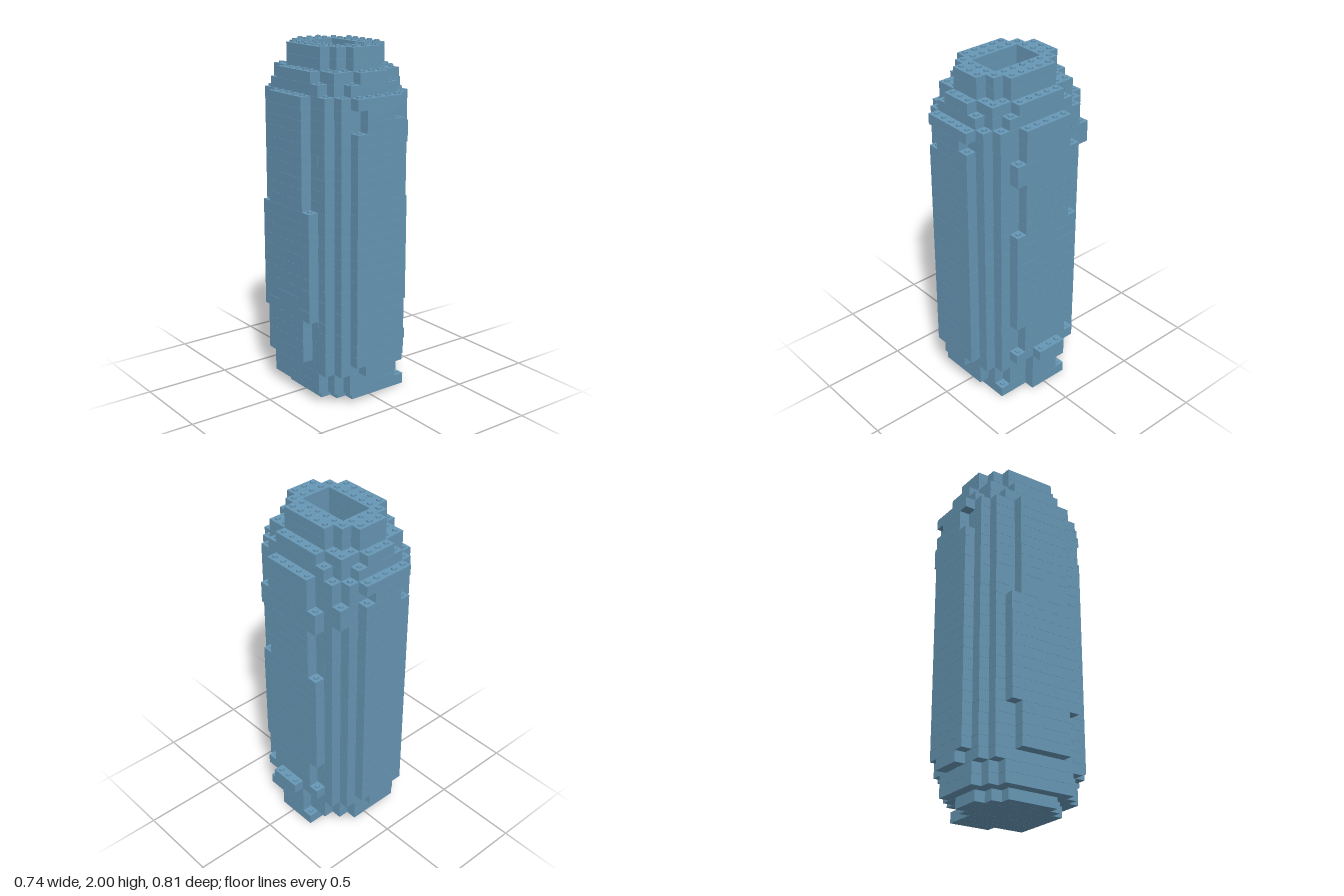
import * as THREE from 'three';
import { mergeGeometries } from 'three/addons/utils/BufferGeometryUtils.js';

const U = 0.0621, H = 0.0622;       // brick pitch and layer height
const COLS = 12, ROWS = 13, LAYERS = 32;
const GAP = 0.0006;                 // hairline seam between bricks
const X0 = -6 * U, Z0 = -6.5 * U;

// Half width (in studs) of each row, counted outward from the middle row
const FULL = [5, 5, 5, 5, 4, 3, 2];
const profile = (k) => {
  if (k === 0) return [3, 3, 3, 2, 1];
  if (k <= 2) return [4, 4, 4, 4, 3, 2];
  if (k === 3) return [4, 4, 4, 4, 4, 3, 1];
  if (k < 28) return FULL;
  if (k === 28) return [4, 4, 4, 4, 3, 2];
  if (k === 29) return [4, 4, 4, 3, 3, 1];
  return [3, 3, 3, 2, 1];
};

// Is there a brick at column i, row j, layer k?
function filled(i, j, k) {
  if (i < 0 || j < 0 || k < 0 || i >= COLS || j >= ROWS || k >= LAYERS) return false;
  const dj = Math.abs(j - 6), di = Math.abs(i - 5);
  // hollow core
  if (k > 1 && di <= 1 && dj <= 2) return false;
  // stray bricks sticking out
  if (i === 11) return k === 4 && dj <= 1;
  if (k === 0 && i === 10) return j >= 4 && j <= 7;
  if (k === 0 && i >= 8 && j >= 4 && j <= 10) return true;
  if (k === 0 && i >= 4 && j === 10) return true;
  if (k >= 1 && k <= 3 && i === 10) return dj <= 1;
  if (i === 9 && j === 1) return k === 24 || k === 25;
  // side panels lose their outer columns at some heights
  if (di === 5 && dj === 3) {
    return (k >= 8 && k <= 17) || (i === 10 && (k === 4 || k === 23 || k === 24));
  }
  // missing bricks at the top of the front and back panels
  if (dj === 6 && i === 3 && (k === 25 || k === 26)) return false;
  if (dj === 6 && i === 7 && k === 26) return false;
  const w = profile(k)[dj];
  return w !== undefined && di <= w;
}

// Bricks running front to back on the sides, left to right elsewhere
const lengthwise = (i, j) => (i < 4 || i > 6) && Math.abs(j - 6) <= 3;

function brick(i, j, k, nx, nz) {
  const g = new THREE.BoxGeometry(nx * U - GAP, H - GAP, nz * U - GAP);
  g.translate(X0 + (i + nx / 2) * U, (k + 0.5) * H, Z0 + (j + nz / 2) * U);
  return g;
}

function layerBricks(k) {
  const parts = [];
  // runs along x
  for (let j = 0; j < ROWS; j++) {
    for (let i = 0; i < COLS; i++) {
      let n = 0;
      while (filled(i + n, j, k) && !lengthwise(i + n, j)) n++;
      if (n) parts.push(brick(i, j, k, n, 1));
      i += n;
      if (n && filled(i, j, k) && !lengthwise(i, j)) i--;
    }
  }
  // runs along z
  for (let i = 0; i < COLS; i++) {
    for (let j = 0; j < ROWS; j++) {
      let n = 0;
      while (filled(i, j + n, k) && lengthwise(i, j + n)) n++;
      if (n) parts.push(brick(i, j, k, 1, n));
      j += n;
    }
  }
  return parts;
}

// One stud on every brick cell that has open space above it
function layerStuds(k) {
  const parts = [];
  for (let i = 0; i < COLS; i++) {
    for (let j = 0; j < ROWS; j++) {
      if (!filled(i, j, k) || filled(i, j, k + 1)) continue;
      const g = new THREE.CylinderGeometry(0.0145, 0.0145, 0.01, 16);
      g.translate(X0 + (i + 0.5) * U, (k + 1) * H + 0.0045, Z0 + (j + 0.5) * U);
      parts.push(g);
    }
  }
  return parts;
}

export function createModel() {
  const model = new THREE.Group();
  model.name = 'brickTower';
  const blue = new THREE.MeshStandardMaterial({ color: 0x6797b5 });
  blue.name = 'dusty blue';

  const add = (name, parts) => {
    if (!parts.length) return;
    const mesh = new THREE.Mesh(mergeGeometries(parts), blue);
    mesh.name = name;
    model.add(mesh);
  };
  for (let k = 0; k < LAYERS; k++) {
    add(`brickLayer${k + 1}`, layerBricks(k));
    add(`studs${k + 1}`, layerStuds(k));
  }
  return model;
}
